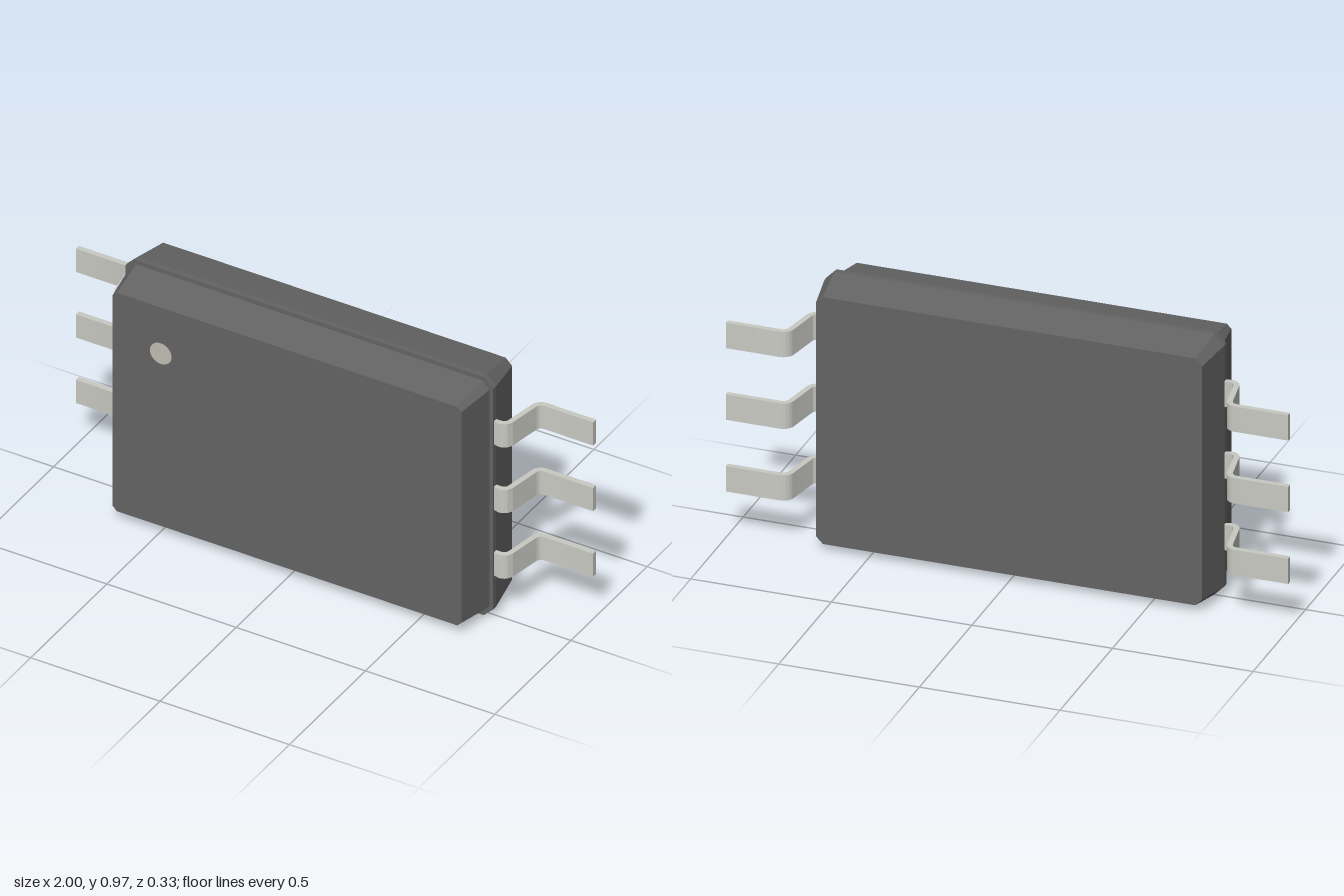
import * as THREE from 'three';
import { toCreasedNormals } from 'three/addons/utils/BufferGeometryUtils.js';

const CENTER_Y = 0.483;
const plastic = new THREE.MeshStandardMaterial({ color: 0x646464, flatShading: true });
const metal = new THREE.MeshStandardMaterial({ color: 0xcacac4 });
const paint = new THREE.MeshStandardMaterial({ color: 0xbfbcb2 });

// Rectangle with chamfered corners, counter-clockwise seen from +z
function octagon({ w, h, c, z }) {
  return [
    [w, -h + c], [w, h - c], [w - c, h], [-w + c, h],
    [-w, h - c], [-w, -h + c], [-w + c, -h], [w - c, -h],
  ].map(([x, y]) => [x, y + CENTER_Y, z]);
}

// Closed solid through sections ordered from back to front
function loft(sections) {
  const rings = sections.map(octagon);
  const n = rings[0].length;
  const positions = [];
  const tri = (a, b, c) => positions.push(...a, ...b, ...c);
  for (let s = 0; s < rings.length - 1; s++) {
    const a = rings[s], b = rings[s + 1];
    for (let i = 0; i < n; i++) {
      const j = (i + 1) % n;
      tri(a[i], a[j], b[j]);
      tri(a[i], b[j], b[i]);
    }
  }
  const back = rings[0], front = rings[rings.length - 1];
  for (let i = 1; i < n - 1; i++) {
    tri(back[0], back[i + 1], back[i]);
    tri(front[0], front[i], front[i + 1]);
  }
  const geometry = new THREE.BufferGeometry();
  geometry.setAttribute('position', new THREE.Float32BufferAttribute(positions, 3));
  geometry.computeVertexNormals();
  return geometry;
}

// Gull-wing strip: profile in x and z, extruded along y
function leadGeometry() {
  const r = 0.03, t = 0.01, width = 0.094;
  const deg = Math.PI / 180;
  const x1 = 0.73, z1 = 0.01 - r;
  const x2 = x1 + 0.0796, z2 = -0.156 + r;
  const shape = new THREE.Shape();
  shape.moveTo(0.66, 0.02);
  shape.absarc(x1, z1, r + t, 90 * deg, 10 * deg, true);
  shape.absarc(x2, z2, r - t, 190 * deg, 270 * deg, false);
  shape.lineTo(1, -0.146);
  shape.lineTo(1, -0.166);
  shape.absarc(x2, z2, r + t, 270 * deg, 190 * deg, true);
  shape.absarc(x1, z1, r - t, 10 * deg, 90 * deg, false);
  shape.lineTo(0.66, 0);
  shape.closePath();
  const geometry = new THREE.ExtrudeGeometry(shape, { depth: width, bevelEnabled: false, curveSegments: 8 });
  geometry.translate(0, 0, -width / 2);
  geometry.rotateX(Math.PI / 2);
  return toCreasedNormals(geometry, 0.6);
}

export function createModel() {
  const model = new THREE.Group();
  model.name = 'chipPackage';
  const add = (name, geometry, material) => {
    const mesh = new THREE.Mesh(geometry, material);
    mesh.name = name;
    model.add(mesh);
    return mesh;
  };

  // Moulded body: wider back half with a straight rim, narrower front half
  add('bodyBack', loft([
    { w: 0.687, h: 0.458, c: 0.025, z: -0.146 },
    { w: 0.711, h: 0.483, c: 0.036, z: 0 },
    { w: 0.711, h: 0.483, c: 0.036, z: 0.02 },
  ]), plastic);
  add('bodyFront', loft([
    { w: 0.697, h: 0.467, c: 0.028, z: 0.02 },
    { w: 0.674, h: 0.443, c: 0.016, z: 0.166 },
  ]), plastic);

  // Pin-one marker
  add('markerDot', new THREE.CircleGeometry(0.042, 40), paint).position.set(-0.487, 0.74, 0.1675);

  // Three leads on each side
  const rightHand = leadGeometry();
  const leftHand = rightHand.clone().rotateZ(Math.PI);
  [0.75, 0.484, 0.218].forEach((y, i) => {
    add(`leftLead${i + 1}`, rightHand, metal).position.y = y;
    add(`rightLead${i + 1}`, leftHand, metal).position.y = y;
  });

  return model;
}
